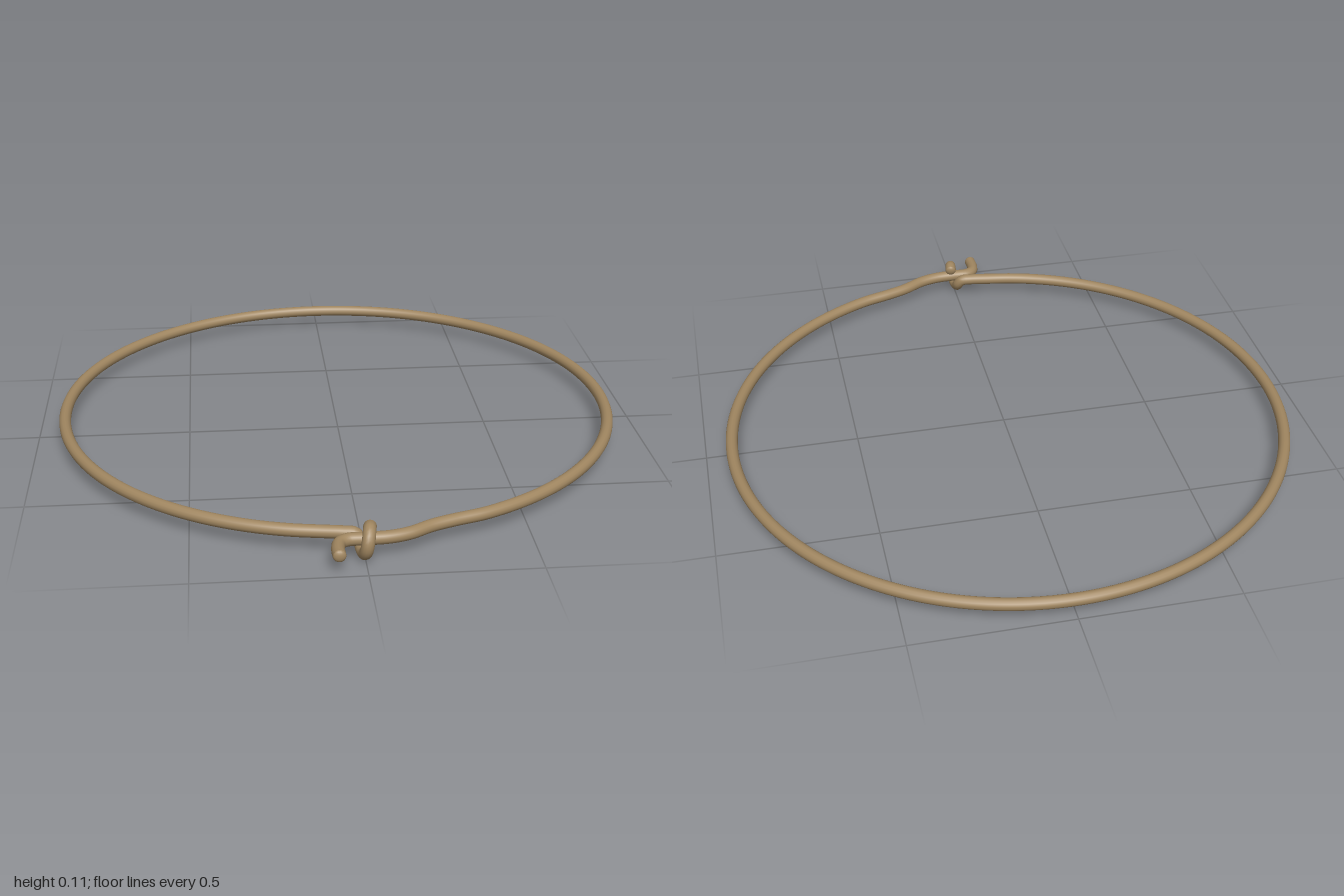
import * as THREE from 'three';

const WIRE = 0.0195, Y = 0.065, RING = 0.914, CZ = -0.066;
const V = (x, y, z) => new THREE.Vector3(x, y, z);

export function createModel() {
  const group = new THREE.Group();
  const bronze = new THREE.MeshStandardMaterial({ color: 0xa08660 });
  bronze.name = 'bronze';

  // Tail: bent tip, straight run through the hook, then easing out to the ring
  const points = [
    V(-0.081, Y, 0.985), V(-0.082, Y, 0.945), V(-0.074, Y, 0.912),
    V(-0.05, Y, 0.895), V(0, Y, 0.893), V(0.07, Y, 0.889),
    V(0.13, Y, 0.872), V(0.2, Y, 0.832), V(0.27, Y, 0.804),
  ];

  // Ring: almost a full turn, from the left front round the back
  const start = 0.404, end = 2 * Math.PI - 0.13, steps = 60;
  for (let i = 0; i <= steps; i++) {
    const a = start + (end - start) * i / steps;
    points.push(V(RING * Math.sin(a), Y, CZ + RING * Math.cos(a)));
  }

  // Hook: the other end dives under the tail, rises in front and curls over it
  points.push(V(-0.06, Y, 0.85), V(-0.025, Y - 0.003, 0.855));
  for (let i = 0; i <= 8; i++) {
    const t = i / 8, a = Math.PI * (1.15 + 1.5 * t);
    points.push(V(-0.012 + 0.027 * t, 0.063 + 0.038 * Math.sin(a), 0.897 + 0.038 * Math.cos(a)));
  }

  const path = new THREE.CatmullRomCurve3(points, false, 'centripetal');
  path.arcLengthDivisions = 3000;
  const band = new THREE.Mesh(new THREE.TubeGeometry(path, 700, WIRE, 14, false), bronze);
  band.name = 'wireBand';
  group.add(band);

  // Blunt rounded tips closing both wire ends
  [['tailTip', 0], ['hookTip', 1]].forEach(([name, u]) => {
    const tip = new THREE.Mesh(new THREE.SphereGeometry(WIRE, 14, 10), bronze);
    tip.name = name;
    tip.scale.y = 0.55;
    tip.position.copy(path.getPointAt(u));
    tip.quaternion.setFromUnitVectors(V(0, 1, 0), path.getTangentAt(u));
    group.add(tip);
  });
  return group;
}
